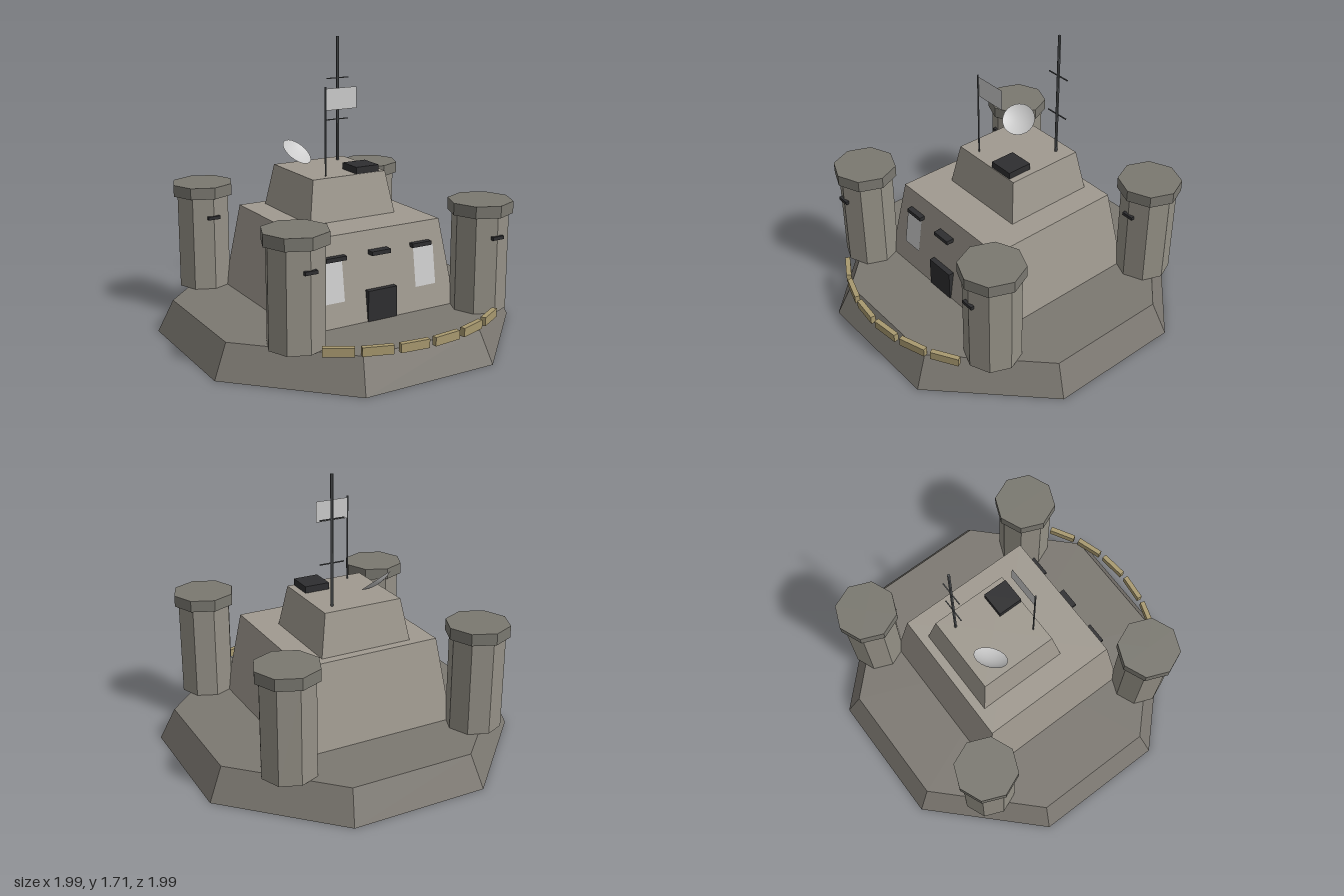
import * as THREE from 'three';

const mat = (color, side = THREE.FrontSide) =>
  new THREE.MeshStandardMaterial({ color, side, flatShading: true });

export function createModel() {
  const fort = new THREE.Group();
  fort.name = 'fort';

  const earth = mat(0x7c7871);
  const stone = mat(0xa09a90);
  const towerStone = mat(0x949086);
  const capStone = mat(0x7a7870);
  const dark = mat(0x2e2e30);
  const metal = mat(0x55585a);
  const sand = mat(0xa8996f);
  const pale = mat(0xcccccc, THREE.DoubleSide);

  const add = (name, geometry, material, x, y, z, parent = fort) => {
    const mesh = new THREE.Mesh(geometry, material);
    mesh.name = name;
    mesh.position.set(x, y, z);
    parent.add(mesh);
    return mesh;
  };
  const box = (w, h, d) => new THREE.BoxGeometry(w, h, d);

  // Frustum with flat sides facing the axes; sizes are half widths across the flats
  const frustum = (top, bottom, height, sides) => {
    const k = 1 / Math.cos(Math.PI / sides);
    return new THREE.CylinderGeometry(top * k, bottom * k, height, sides)
      .rotateY(Math.PI / sides);
  };

  const zc = -0.006; // ground plan centre
  const ground = 0.19;

  // Octagonal base and stepped keep
  add('base', frustum(0.908, 0.994, ground, 8), earth, 0, ground / 2, zc);
  add('keep', frustum(0.432, 0.507, 0.51, 4), stone, 0, 0.445, zc);
  add('upperKeep', frustum(0.242, 0.285, 0.25, 4), stone, 0, 0.825, -0.1);

  // Four corner towers, each with an overhanging cap and a front slit
  for (const sx of [-1, 1]) {
    for (const sz of [-1, 1]) {
      const tower = new THREE.Group();
      tower.name = `${sz > 0 ? 'front' : 'back'}${sx > 0 ? 'Left' : 'Right'}Tower`;
      tower.position.set(sx * 0.602, 0, sz * 0.6 + zc);
      add('towerBody', new THREE.CylinderGeometry(0.164, 0.164, 0.57, 8), towerStone, 0, 0.475, 0, tower);
      add('towerCap', new THREE.CylinderGeometry(0.188, 0.188, 0.07, 8), capStone, 0, 0.795, 0, tower);
      add('towerSlit', box(0.075, 0.02, 0.02), dark, 0, 0.64, 0.164, tower);
      fort.add(tower);
    }
  }

  // Door, window slits and sloping wall panels
  add('door', box(0.19, 0.18, 0.05), dark, 0, 0.28, 0.483);
  add('centreSlit', box(0.125, 0.024, 0.05), dark, 0, 0.578, 0.465);
  for (const s of [-1, 1]) {
    add('sideSlit', box(0.128, 0.024, 0.04), dark, s * 0.284, 0.577, 0.457);
    const panel = add('wallPanel', new THREE.PlaneGeometry(0.138, 0.23), pale, s * 0.306, 0.445, 0.47);
    panel.rotation.x = -0.146;
  }

  // Curved row of sandbags
  for (let i = 0; i < 6; i++) {
    const a = THREE.MathUtils.degToRad((i - 2.5) * 12);
    const bag = add('sandbag', box(0.17, 0.05, 0.03), sand,
      0.98 * Math.sin(a), 0.218, 0.98 * Math.cos(a) - 0.006);
    bag.rotation.y = a;
  }

  // Roof hatch
  add('roofHatch', box(0.153, 0.04, 0.155), dark, 0.125, 0.97, 0.06);

  // Radio mast with two crossbars
  add('mast', new THREE.CylinderGeometry(0.009, 0.009, 0.76, 6), metal, 0.156, 1.33, -0.26);
  for (const y of [1.205, 1.458]) {
    add('crossbar', box(0.15, 0.006, 0.006), metal, 0.156, y, -0.26);
  }

  // Flagpole and flag
  add('flagpole', new THREE.CylinderGeometry(0.005, 0.005, 0.515, 6), metal, -0.13, 1.2075, 0.09);
  add('flag', new THREE.PlaneGeometry(0.205, 0.125), pale, -0.025, 1.392, 0.088);

  // Shallow dish, opening upward and toward the front left
  const depth = 0.025, radius = 0.1;
  const R = (radius * radius + depth * depth) / (2 * depth);
  const cap = new THREE.SphereGeometry(R, 24, 5, 0, Math.PI * 2, 0, Math.asin(radius / R))
    .translate(0, depth - R, 0)
    .rotateX(Math.PI);
  const dish = add('dish', cap,
    new THREE.MeshStandardMaterial({ color: 0xcccccc, side: THREE.DoubleSide }),
    -0.145, 1.038, -0.228);
  dish.quaternion.setFromUnitVectors(
    new THREE.Vector3(0, 1, 0), new THREE.Vector3(0.33, 0.77, 0.54).normalize());

  return fort;
}
